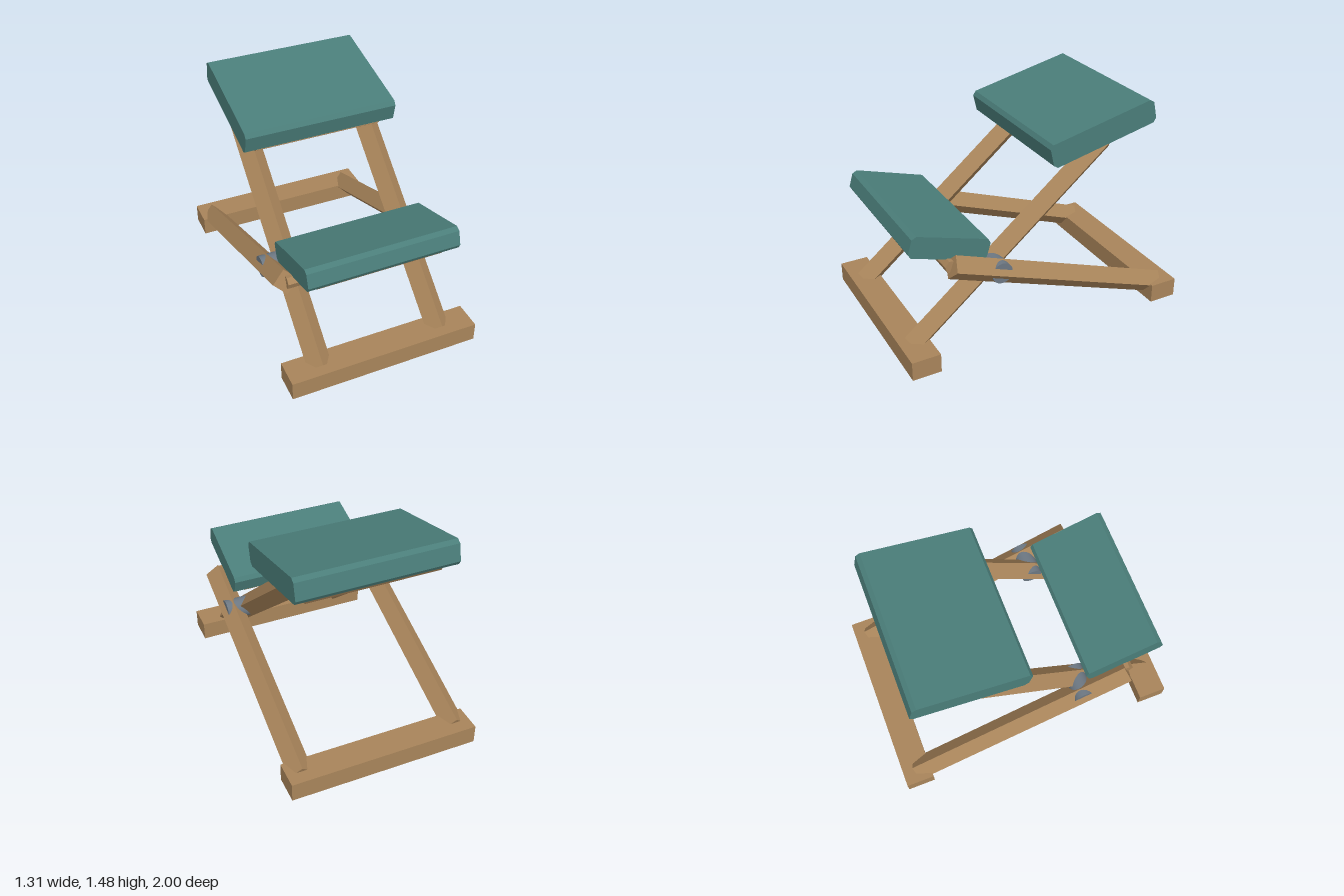
import * as THREE from 'three';

const wood = new THREE.MeshStandardMaterial({ color: 0xa8845a, flatShading: true });
const fabric = new THREE.MeshStandardMaterial({ color: 0x4a7d79, flatShading: true });
const steel = new THREE.MeshStandardMaterial({ color: 0x6c7782 });
const rad = THREE.MathUtils.degToRad;

function part(parent, name, geometry, material, x = 0, y = 0, z = 0) {
  const mesh = new THREE.Mesh(geometry, material);
  mesh.name = name;
  mesh.position.set(x, y, z);
  parent.add(mesh);
  return mesh;
}

// Slab with chamfered edges along its width (x)
function slab(width, height, depth, c) {
  const h = height / 2, d = depth / 2;
  const shape = new THREE.Shape([
    [d - c, -h], [d, -h + c], [d, h - c], [d - c, h],
    [-d + c, h], [-d, h - c], [-d, -h + c], [-d + c, -h],
  ].map(([a, b]) => new THREE.Vector2(a, b)));
  return new THREE.ExtrudeGeometry(shape, { depth: width, bevelEnabled: false })
    .translate(0, 0, -width / 2).rotateY(-Math.PI / 2);
}

// Square bar standing on its edge, running between two [y, z] points
function bar(parent, name, x, [y0, z0], [y1, z1]) {
  const dy = y1 - y0, dz = z1 - z0;
  const geometry = new THREE.CylinderGeometry(0.082, 0.082, Math.hypot(dy, dz), 4);
  part(parent, name, geometry, wood, x, (y0 + y1) / 2, (z0 + z1) / 2).rotation.x = Math.atan2(dz, dy);
}

// Round pin lying along x
function pin(parent, name, x0, x1, radius, sides, material, y, z, tilt = 0) {
  const geometry = new THREE.CylinderGeometry(radius, radius, Math.abs(x1 - x0), sides).rotateZ(Math.PI / 2);
  part(parent, name, geometry, material, (x0 + x1) / 2, y, z).rotation.x = rad(tilt);
}

// Cushion on its board, tilted about x
function pad(parent, name, y, z, tilt, cushion, board, boardY, boardZ) {
  const group = new THREE.Group();
  group.name = name;
  group.position.set(0, y, z);
  group.rotation.x = rad(tilt);
  part(group, name + 'Cushion', slab(...cushion, 0.025), fabric);
  part(group, name + 'Board', slab(...board, 0.023), wood, 0, boardY, boardZ);
  parent.add(group);
}

export function createModel() {
  const model = new THREE.Group();
  model.name = 'kneelingChair';

  // Floor beams
  part(model, 'frontFoot', new THREE.BoxGeometry(1.306, 0.131, 0.195), wood, 0, 0.0655, 0.9025);
  part(model, 'rearFoot', new THREE.BoxGeometry(1.306, 0.131, 0.195), wood, 0, 0.0655, -0.9025);

  // Crossed side bars with their pegs and pivot bolts
  for (const [side, s] of [['left', 1], ['right', -1]]) {
    bar(model, side + 'SeatBar', s * 0.427, [0.097, 0.9], [1.23, -0.474]);
    bar(model, side + 'KneeBar', s * 0.552, [0.09, -0.898], [0.668, 0.667]);
    pin(model, side + 'SeatPeg', s * 0.28, s * 0.427, 0.045, 6, wood, 1.23, -0.474, 9);
    pin(model, side + 'KneePeg', s * 0.367, s * 0.55, 0.045, 6, wood, 0.667, 0.667, -10);
    pin(model, side + 'PivotBolt', s * 0.37, s * 0.602, 0.071, 24, steel, 0.554, 0.345);
  }

  // Seat and knee rest
  pad(model, 'seat', 1.315, -0.42, 12.85, [1.06, 0.164, 0.78], [0.89, 0.05, 0.686], -0.095, 0.018);
  pad(model, 'kneeRest', 0.772, 0.655, -17, [1.02, 0.145, 0.546], [0.85, 0.05, 0.444], -0.0875, -0.022);

  return model;
}
